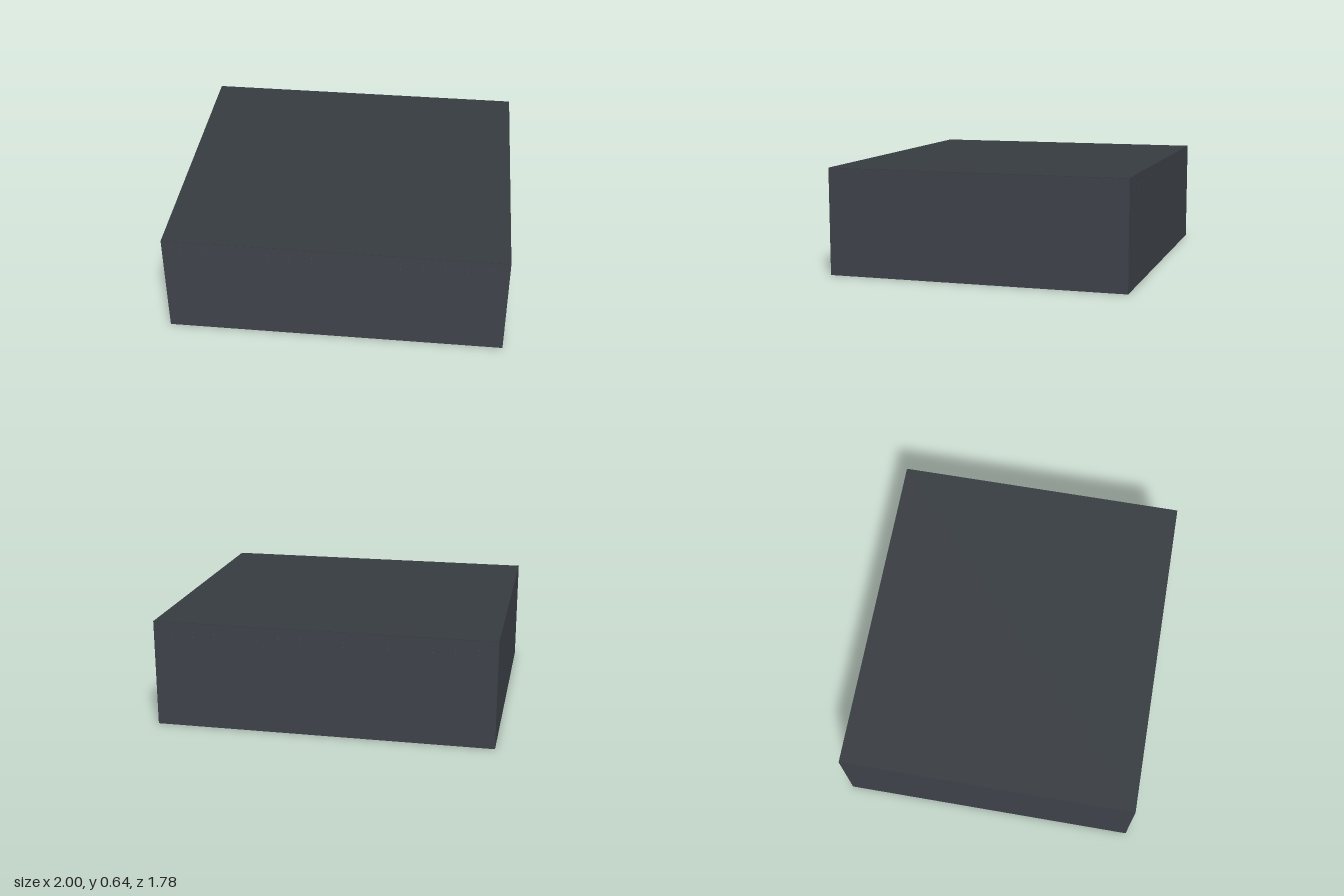
import * as THREE from 'three';

const mat = (color, flatShading = true) => new THREE.MeshStandardMaterial({ color, flatShading, side: THREE.DoubleSide });
const wallMat = mat(0x40434b), roofMat = mat(0x373c41), curvedMat = mat(0x44474f, false);
const darkMat = mat(0x4c5056), slabMat = mat(0xb4b4b2), seatMat = mat(0x9a9a98);
const tunnelMat = mat(0x2c2828), redMat = mat(0xa8503f), steelMat = mat(0x4c4f56), boardMat = mat(0x5c6068);

// Points of a rounded rectangle with half sizes a, b and corner radius r
function roundedLoop(a, b, r, y, seg = 12) {
  const pts = [];
  [[1, 1], [-1, 1], [-1, -1], [1, -1]].forEach(([sx, sz], q) => {
    for (let i = 0; i <= seg; i++) {
      const t = (q + i / seg) * Math.PI / 2;
      pts.push(sx * (a - r) + r * Math.cos(t), y, sz * (b - r) + r * Math.sin(t));
    }
  });
  return pts;
}

// Skin joining a series of rounded rectangles [a, b, r, y]
function loft(rings) {
  const pos = rings.flatMap((k) => roundedLoop(...k));
  const n = pos.length / 3 / rings.length, index = [];
  for (let j = 0; j < rings.length - 1; j++) {
    for (let i = 0; i < n; i++) {
      const p = j * n + i, q = j * n + (i + 1) % n;
      index.push(p, p + n, q, q, p + n, q + n);
    }
  }
  const g = new THREE.BufferGeometry();
  g.setAttribute('position', new THREE.Float32BufferAttribute(pos, 3));
  g.setIndex(index);
  g.computeVertexNormals();
  return g;
}

export function createModel() {
  const group = new THREE.Group();
  const add = (name, geo, material, x = 0, y = 0, z = 0, parent = group) => {
    const m = new THREE.Mesh(geo, material);
    m.name = name;
    m.position.set(x, y, z);
    parent.add(m);
    return m;
  };
  const box = (w, h, d) => new THREE.BoxGeometry(w, h, d);

  // Outer hall: four walls and a roof, open underneath
  const H = 0.636, X = 1, Z = 0.89, T = 0.002;
  add('roof', box(2 * X, T, 2 * Z), roofMat, 0, H - T / 2, 0);
  for (const s of [-1, 1]) {
    add('endWall', box(T, H - T, 2 * Z), wallMat, s * (X - T / 2), (H - T) / 2, 0);
    add('sideWall', box(2 * X, H - T, T), wallMat, 0, (H - T) / 2, s * (Z - T / 2));
  }

  // Rounded concourse wall and the slabs stepping in to the bowl
  add('concourseWall', loft([[0.996, 0.886, 0.57, 0], [0.996, 0.886, 0.57, 0.3]]), curvedMat);
  add('upperSlab', loft([[0.996, 0.886, 0.57, 0.3], [0.8, 0.69, 0.3, 0.3]]), darkMat);
  add('slabFascia', loft([[0.8, 0.69, 0.3, 0.3], [0.8, 0.69, 0.3, 0.2], [0.71, 0.6, 0.23, 0.2]]), darkMat);
  add('concourseSlab', loft([[0.71, 0.6, 0.23, 0.2], [0.57, 0.44, 0.27, 0.2]]), slabMat);

  // Stepped seating bowl
  const rows = 16, steps = [];
  for (let i = 0; i <= rows; i++) {
    const t = i / rows, ring = [0.3 + 0.27 * t, 0.17 + 0.27 * t, 0.13 + 0.14 * t];
    steps.push([...ring, 0.04 + 0.16 * t]);
    if (i < rows) steps.push([...ring, 0.04 + 0.16 * (i + 1) / rows]);
  }
  add('seatingBowl', loft(steps), seatMat);
  add('rinkBoards', loft([[0.298, 0.168, 0.13, 0.04], [0.298, 0.168, 0.13, 0.06]]), boardMat);

  // Entrance tunnels around the bowl, with red side walls
  const tunnel = (x, z, angle) => {
    const g = new THREE.Group();
    g.name = 'entranceTunnel';
    g.position.set(x, 0.17, z);
    g.rotation.y = angle;
    add('tunnelBody', box(0.042, 0.1, 0.09), tunnelMat, 0, 0, 0, g);
    for (const s of [-1, 1]) add('tunnelSide', box(0.003, 0.1, 0.09), redMat, s * 0.0225, 0, 0, g);
    group.add(g);
  };
  for (const x of [-0.13, -0.043, 0.043, 0.13]) tunnel(x, -0.41, Math.PI);
  for (const s of [-1, 1]) {
    tunnel(s * 0.54, 0, s * Math.PI / 2);
    for (const k of [-1, 1]) tunnel(s * 0.455, k * 0.34, Math.atan2(s, k));
  }

  // Roof trusses: two chords with zigzag webs, chord ends just through the walls
  for (let i = -7; i <= 7; i++) {
    if (i === 0) continue;
    const truss = new THREE.Group();
    truss.name = 'roofTruss';
    truss.position.x = i * 0.127;
    for (const y of [0.55, 0.578]) add('chord', box(0.006, 0.006, 2 * Z + 0.001), steelMat, 0, y, 0, truss);
    for (let k = 0; k < 24; k++) {
      const web = add('web', box(0.004, 0.004, 0.078), steelMat, 0, 0.564, (k - 11.5) * 0.073, truss);
      web.rotation.x = (k % 2 ? 1 : -1) * 0.36;
    }
    group.add(truss);
  }

  // Hanging scoreboard over the rink
  add('scoreboard', box(0.12, 0.07, 0.12), darkMat, 0, 0.43, 0);
  add('scoreboardHanger', box(0.02, 0.17, 0.02), steelMat, 0, 0.55, 0);
  return group;
}
